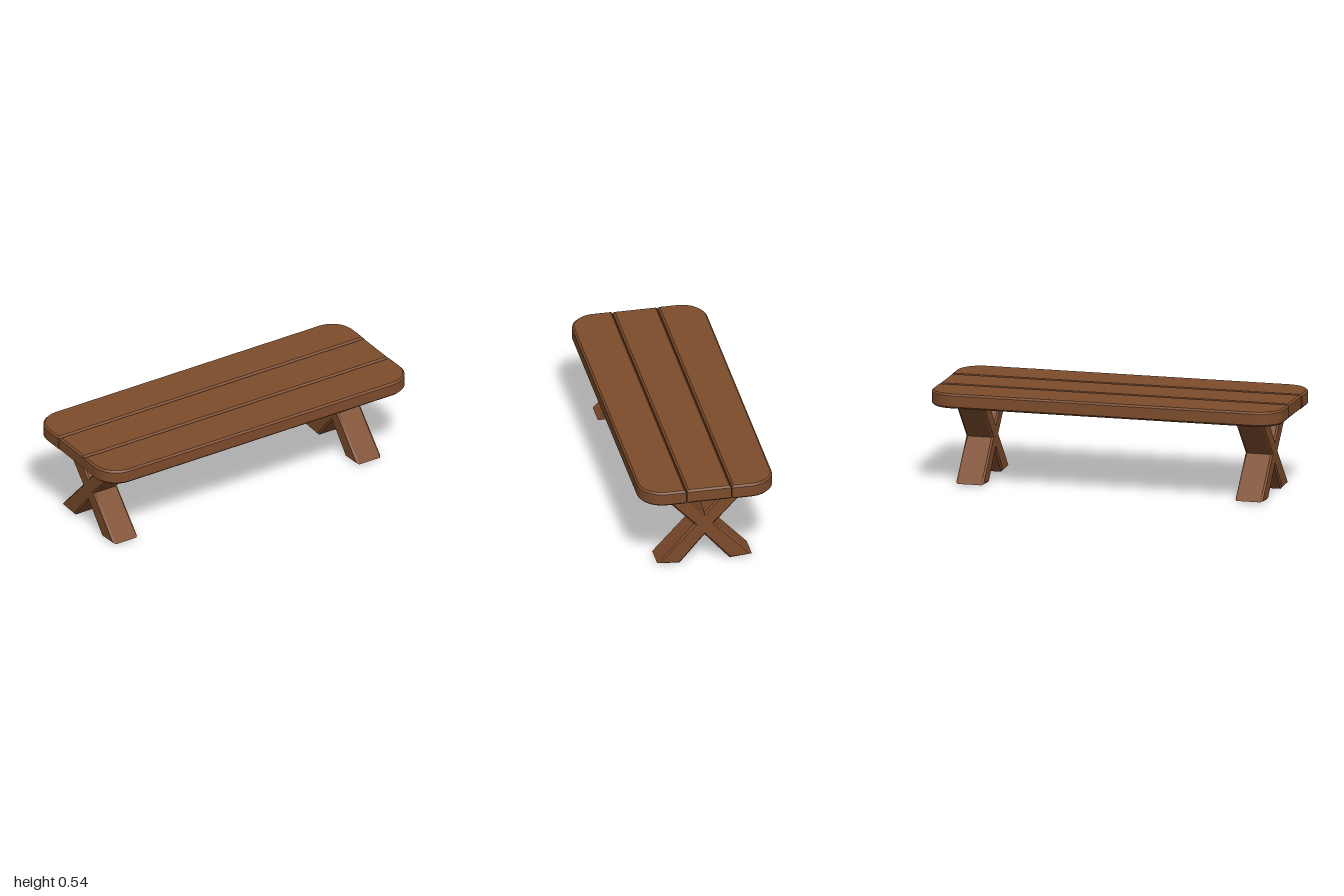
import * as THREE from 'three';

const wood = new THREE.MeshStandardMaterial({ color: 0x7d4c2c, flatShading: true });
const BEVEL = 0.01;

// Extrude an outline with chamfered edges that stay inside it, centred along its depth.
function chamfered(shape, depth) {
  const geometry = new THREE.ExtrudeGeometry(shape, {
    depth: depth - 2 * BEVEL,
    bevelEnabled: true,
    bevelThickness: BEVEL,
    bevelSize: BEVEL,
    bevelOffset: -BEVEL,
    bevelSegments: 1,
    curveSegments: 8,
  });
  return geometry.translate(0, 0, BEVEL - depth / 2);
}

function addMesh(group, name, geometry) {
  const mesh = new THREE.Mesh(geometry, wood);
  mesh.name = name;
  group.add(mesh);
  return mesh;
}

// Plank outline from z0 to z1, with the two corners at z1 rounded by r.
function plankShape(halfLength, z0, z1, r) {
  const s = new THREE.Shape();
  s.moveTo(-halfLength, z0);
  s.lineTo(halfLength, z0);
  s.lineTo(halfLength, z1 - r);
  if (r > 0) s.absarc(halfLength - r, z1 - r, r, 0, Math.PI / 2, false);
  else s.lineTo(halfLength, z1);
  s.lineTo(-halfLength + r, z1);
  if (r > 0) s.absarc(-halfLength + r, z1 - r, r, Math.PI / 2, Math.PI, false);
  s.closePath();
  return s;
}

export function createModel() {
  const model = new THREE.Group();
  model.name = 'bench';

  // Seat: a straight middle plank between two planks with rounded outer corners
  const seat = new THREE.Group();
  seat.name = 'seat';
  seat.position.y = 0.496;
  model.add(seat);
  const middle = addMesh(seat, 'middlePlank', chamfered(plankShape(0.997, -0.124, 0.124, 0), 0.082));
  middle.rotation.x = Math.PI / 2;
  for (const [name, side] of [['frontPlank', 1], ['backPlank', -1]]) {
    const plank = addMesh(seat, name, chamfered(plankShape(1, 0.128, 0.377, 0.14), 0.082));
    plank.rotation.x = side * Math.PI / 2;
  }

  // Crossed legs: half of the X outline, mirrored
  const half = [[0.14, 0], [0.265, 0.01], [0.057, 0.235], [0.268, 0.462], [0.14, 0.462]];
  const outline = [
    [0, 0.163], ...half, [0, 0.3],
    ...half.slice().reverse().map(([z, y]) => [-z, y]),
  ].map(([z, y]) => new THREE.Vector2(z, y));
  const legGeometry = chamfered(new THREE.Shape(outline), 0.155).rotateY(-Math.PI / 2);
  for (const [name, x] of [['rightLeg', -0.808], ['leftLeg', 0.783]]) {
    addMesh(model, name, legGeometry).position.set(x, 0, -0.004);
  }

  return model;
}
